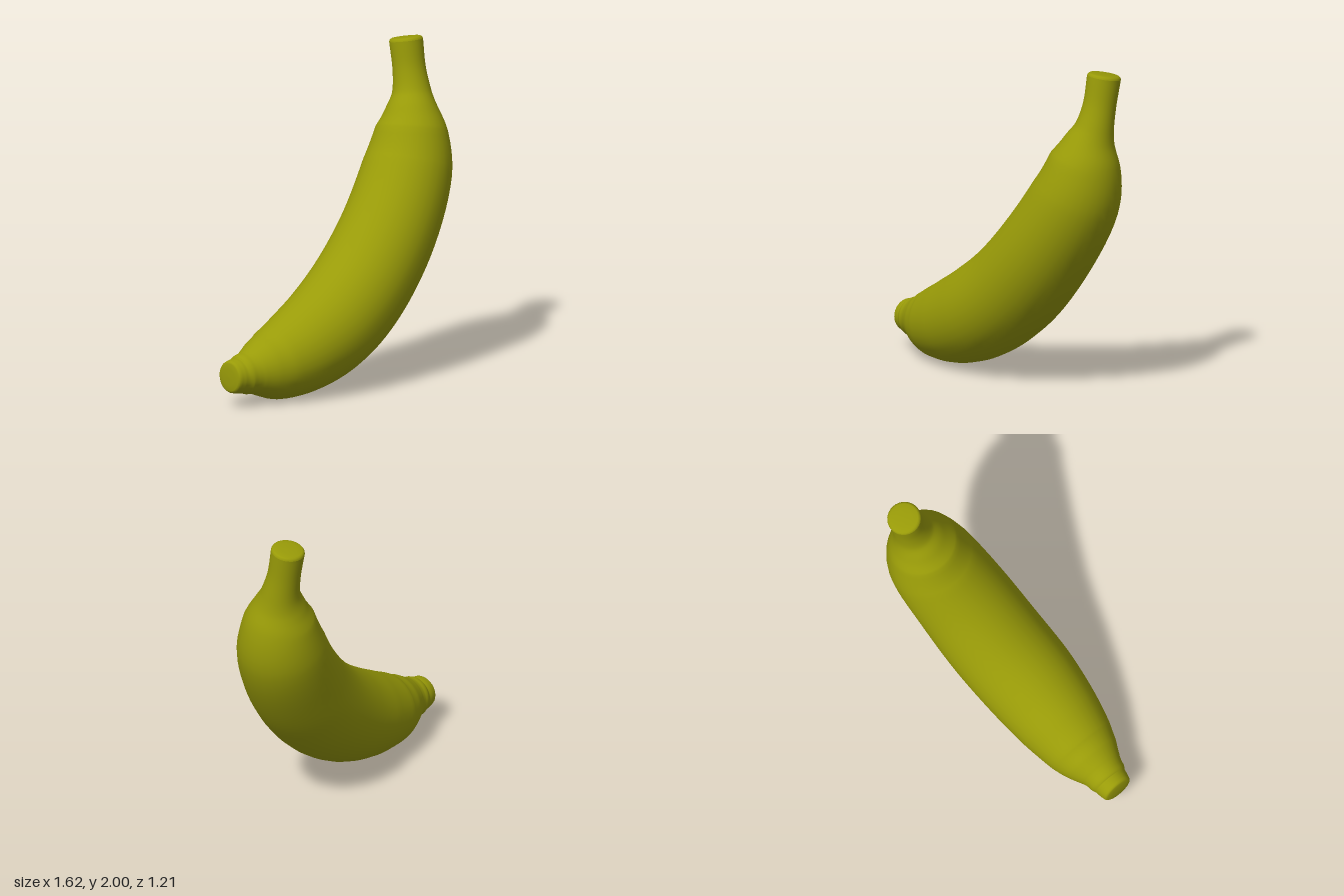
import * as THREE from 'three';

// Centre line and thickness from blossom tip to stem: x, y, z, radius
const STATIONS = [
  [-0.758, 0.19, 0.515, 0.1],
  [-0.735, 0.19, 0.503, 0.106],
  [-0.71, 0.19, 0.491, 0.11],
  [-0.685, 0.193, 0.479, 0.123],
  [-0.655, 0.196, 0.465, 0.129],
  [-0.62, 0.2, 0.448, 0.145],
  [-0.55, 0.208, 0.412, 0.184],
  [-0.455, 0.22, 0.362, 0.223],
  [-0.27, 0.277, 0.265, 0.267],
  [-0.05, 0.393, 0.137, 0.296],
  [0.175, 0.592, -0.022, 0.303],
  [0.388, 0.89, -0.187, 0.295],
  [0.538, 1.225, -0.335, 0.272],
  [0.575, 1.45, -0.387, 0.218],
  [0.583, 1.56, -0.412, 0.163],
  [0.588, 1.66, -0.44, 0.12],
  [0.58, 1.8, -0.472, 0.101],
  [0.568, 1.968, -0.5, 0.103],
];
const SIDES = 32;
const STEPS = 6;

const path = new THREE.CatmullRomCurve3(STATIONS.map(([x, y, z]) => new THREE.Vector3(x, y, z)));
const thickness = new THREE.CatmullRomCurve3(
  STATIONS.map((s, i) => new THREE.Vector3(i, s[3], 0)), false, 'catmullrom', 0.5);
const bendNormal = new THREE.Vector3(0.62, 0, 0.78);

// One round cross-section at t, optionally shrunk and pushed along the path
function ring(t, scale = 1, push = 0) {
  const tangent = path.getTangent(t);
  const centre = path.getPoint(t).addScaledVector(tangent, push);
  const up = new THREE.Vector3().crossVectors(bendNormal, tangent).normalize();
  const side = new THREE.Vector3().crossVectors(tangent, up);
  const r = thickness.getPoint(t).y * scale;
  return Array.from({ length: SIDES }, (_, i) => {
    const a = (i / SIDES) * Math.PI * 2;
    return centre.clone()
      .addScaledVector(up, Math.cos(a) * r)
      .addScaledVector(side, Math.sin(a) * r);
  });
}

// Skin a list of rings into a smooth closed-around surface
function loft(rings, flip) {
  const index = [];
  for (let j = 0; j < rings.length - 1; j++) {
    for (let i = 0; i < SIDES; i++) {
      const k = (i + 1) % SIDES;
      const a = j * SIDES + i, b = j * SIDES + k;
      const c = a + SIDES, d = b + SIDES;
      if (flip) index.push(a, c, b, b, c, d);
      else index.push(a, b, c, b, d, c);
    }
  }
  const geometry = new THREE.BufferGeometry().setFromPoints(rings.flat());
  geometry.setIndex(index);
  geometry.computeVertexNormals();
  return geometry;
}

export function createModel() {
  const group = new THREE.Group();
  group.name = 'banana';
  const material = new THREE.MeshStandardMaterial({ color: 0x999b08 });
  const add = (name, geometry) => {
    const mesh = new THREE.Mesh(geometry, material);
    mesh.name = name;
    group.add(mesh);
  };

  // Peel: tip collar, body and stem in one continuous sweep
  const count = (STATIONS.length - 1) * STEPS;
  add('peel', loft(Array.from({ length: count + 1 }, (_, i) => ring(i / count)), false));

  // Softly rounded ends: [scale, outward push]
  const cap = [[1, 0], [0.98, 0.008], [0.93, 0.015], [0.84, 0.02], [0.5, 0.023], [0.001, 0.024]];
  add('stemEnd', loft(cap.map(([s, p]) => ring(1, s, p)), false));
  add('blossomEnd', loft(cap.map(([s, p]) => ring(0, s, -p)), true));

  return group;
}
